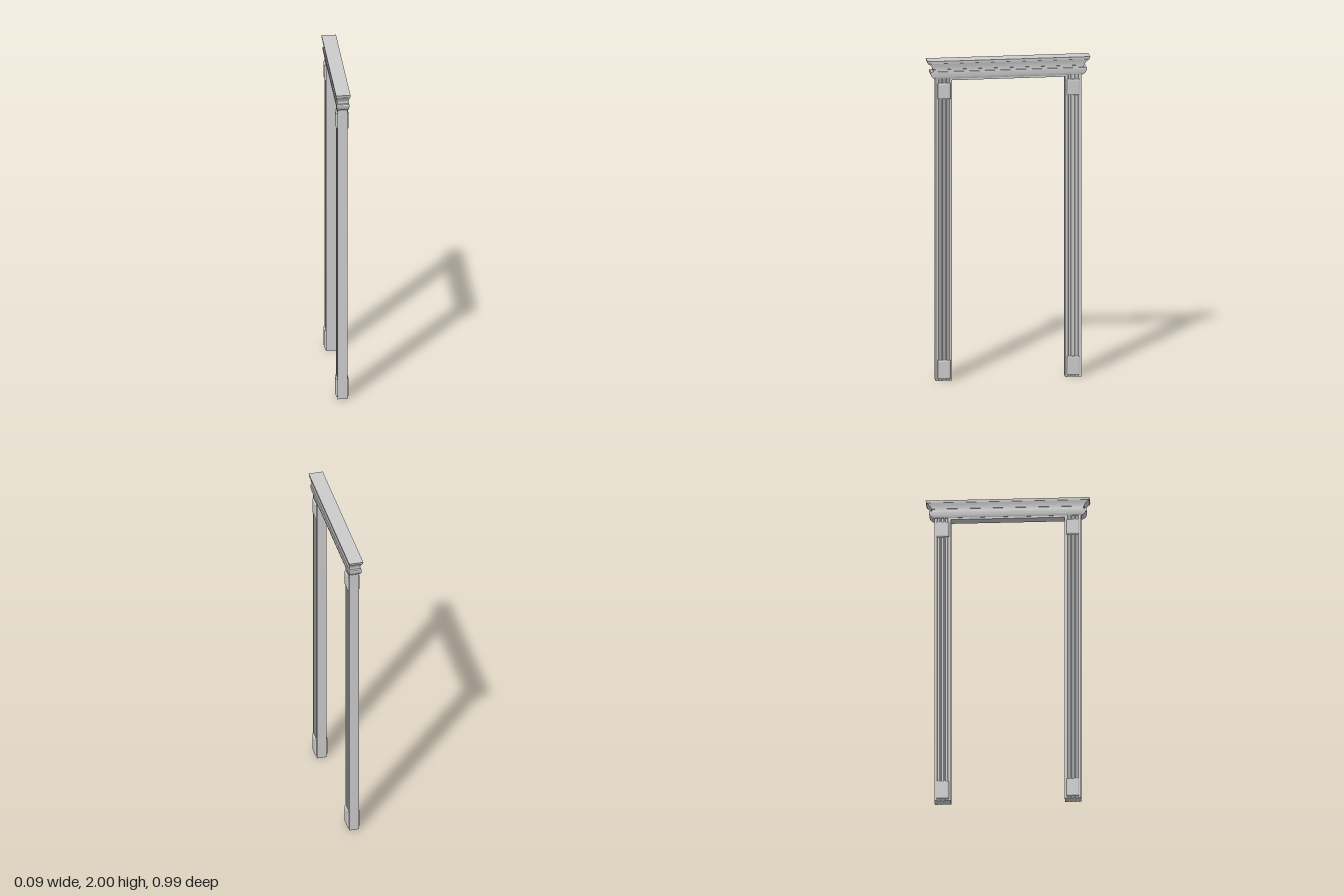
import * as THREE from 'three';

const material = new THREE.MeshStandardMaterial({ color: 0xcccccc, flatShading: true });

function addMesh(parent, name, geometry) {
  const mesh = new THREE.Mesh(geometry, material);
  mesh.name = name;
  parent.add(mesh);
  return mesh;
}

// Lofts rectangular rings [height, halfX, halfZ] along y, bottom to top, with caps
function loftRects(rings) {
  const pos = [];
  const corner = ([y, a, b], i) => [
    [a, y, b], [a, y, -b], [-a, y, -b], [-a, y, b],
  ][i % 4];
  const quad = (a, b, c, d) => pos.push(...a, ...b, ...c, ...a, ...c, ...d);
  for (let r = 0; r < rings.length - 1; r++) {
    for (let i = 0; i < 4; i++) {
      quad(corner(rings[r], i), corner(rings[r], i + 1), corner(rings[r + 1], i + 1), corner(rings[r + 1], i));
    }
  }
  const bottom = rings[0], top = rings[rings.length - 1];
  quad(...[0, 1, 2, 3].map((i) => corner(top, i)));
  quad(...[3, 2, 1, 0].map((i) => corner(bottom, i)));
  const g = new THREE.BufferGeometry();
  g.setAttribute('position', new THREE.Float32BufferAttribute(pos, 3));
  g.computeVertexNormals();
  return g;
}

// Upright with shallow flutes on both broad faces
function jambGeometry(height) {
  const hx = 0.03, hz = 0.05, depth = 0.004;
  const flutes = [-0.024, 0, 0.024], r = 0.009;
  const side = [[hx, -hz]];
  for (const c of flutes) {
    for (let i = 0; i <= 4; i++) {
      const a = (i / 4) * Math.PI;
      side.push([hx - depth * Math.sin(a), c - r * Math.cos(a)]);
    }
  }
  side.push([hx, hz]);
  const outline = [...side, ...side.map(([x, z]) => [-x, -z])];
  const shape = new THREE.Shape(outline.map(([x, z]) => new THREE.Vector2(x, z)));
  const g = new THREE.ExtrudeGeometry(shape, { depth: height, bevelEnabled: false });
  return g.rotateX(-Math.PI / 2);
}

// Bevelled block passing through the jamb and standing proud on both faces
function blockGeometry(halfHeight, halfWidth) {
  const steps = [[0.039, 0.007], [0.037, 0.002], [0.034, 0]];
  const ring = (s) => ([x, inset]) => [s * x, halfHeight - inset, halfWidth - inset];
  const rings = [...steps.map(ring(-1)), ...steps.slice().reverse().map(ring(1))];
  return loftRects(rings).rotateZ(Math.PI / 2);
}

export function createModel() {
  const model = new THREE.Group();
  model.name = 'doorFrame';

  // Jambs with plinth and corner blocks
  for (const s of [1, -1]) {
    const jamb = new THREE.Group();
    jamb.name = s > 0 ? 'frontJamb' : 'backJamb';
    jamb.position.z = s * 0.395;
    addMesh(jamb, 'flutedPost', jambGeometry(1.9));
    addMesh(jamb, 'plinthBlock', blockGeometry(0.058, 0.038)).position.y = 0.07;
    addMesh(jamb, 'cornerBlock', blockGeometry(0.049, 0.038)).position.y = 1.81;
    model.add(jamb);
  }

  // Header soffit between the jambs
  addMesh(model, 'headerSoffit', new THREE.BoxGeometry(0.06, 0.03, 0.7)).position.y = 1.891;

  // Moulded cornice: [height, overhang], projecting further at its two ends
  const profile = [
    [1.887, 0.1], [1.892, 0.28], [1.902, 0.48], [1.916, 0.6], [1.926, 0.63], [1.932, 0.58],
    [1.933, 0.3], [1.946, 0.28], [1.947, 0.36], [1.957, 0.42], [1.967, 0.54],
    [1.977, 0.72], [1.983, 0.84], [1.984, 0.92], [2.0, 1],
  ];
  addMesh(model, 'cornice', loftRects(profile.map(([y, o]) => [y, 0.03 + 0.014 * o, 0.445 + 0.052 * o])));

  return model;
}
